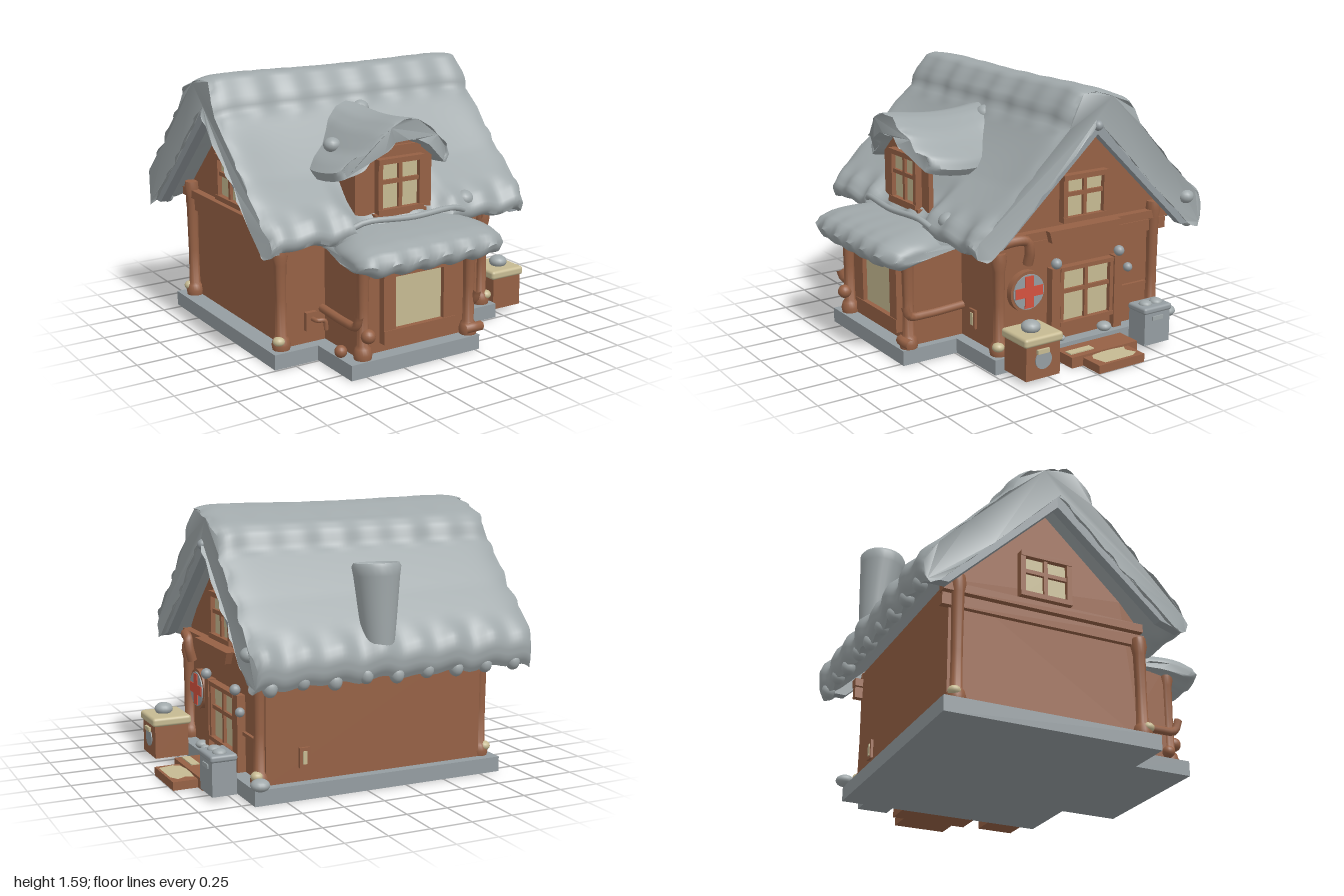
import * as THREE from 'three';
import { toCreasedNormals } from 'three/addons/utils/BufferGeometryUtils.js';
import { RoundedBoxGeometry } from 'three/addons/geometries/RoundedBoxGeometry.js';

const mat = (name, color) => {
  const m = new THREE.MeshStandardMaterial({ color });
  m.name = name;
  return m;
};
const shape = pts => new THREE.Shape(pts.map(p => new THREE.Vector2(...p)));
const smooth = THREE.MathUtils.smoothstep;

export function createModel() {
  const root = new THREE.Group();
  root.name = 'snowyCabin';
  const snow = mat('snow grey', 0xa0a8aa), stone = mat('stone grey', 0x959da1), wood = mat('timber brown', 0x966145);
  const cream = mat('cream', 0xc6ba92), red = mat('red', 0xd4523f);

  const add = (name, geo, m, x = 0, y = 0, z = 0, parent = root) => {
    const mesh = new THREE.Mesh(geo, m);
    mesh.name = name;
    mesh.position.set(x, y, z);
    parent.add(mesh);
    return mesh;
  };
  // Box given by its limits
  const box = (name, m, x0, x1, y0, y1, z0, z1, parent) =>
    add(name, new THREE.BoxGeometry(x1 - x0, y1 - y0, z1 - z0), m, (x0 + x1) / 2, (y0 + y1) / 2, (z0 + z1) / 2, parent);
  const ball = (name, m, x, y, z, r, sy = 1) => {
    add(name, new THREE.SphereGeometry(r, 16, 12), m, x, y, z).scale.y = sy;
  };
  const tube = (name, m, pts, r) => add(name, new THREE.TubeGeometry(
    new THREE.CatmullRomCurve3(pts.map(p => new THREE.Vector3(...p))), 16, r, 8), m);
  const lathe = (name, m, pts, x, y, z) =>
    add(name, toCreasedNormals(new THREE.LatheGeometry(pts.map(p => new THREE.Vector2(...p)), 24), 0.9), m, x, y, z);
  // Outline in (z, y), extruded from x towards -x
  const sideExtrude = (name, m, pts, x, depth) => {
    const g = new THREE.ExtrudeGeometry(shape(pts), { depth, bevelEnabled: false });
    g.rotateY(-Math.PI / 2);
    return add(name, g, m, x);
  };
  // Sweeps a closed outline with finely divided edges; place(t, u, v) returns the 3D point
  const loft = (name, m, pts, n, place) => {
    const raw = pts.map(p => new THREE.Vector2(...p)), prof = [];
    if (THREE.ShapeUtils.isClockWise(raw)) raw.reverse();
    raw.forEach((a, i) => {
      const b = raw[(i + 1) % raw.length], parts = Math.ceil(a.distanceTo(b) / 0.035);
      for (let j = 0; j < parts; j++) {
        const f = j / parts, bow = 0.03 * f * (1 - f);
        prof.push(new THREE.Vector2(a.x + (b.x - a.x) * f + (b.y - a.y) * bow, a.y + (b.y - a.y) * f - (b.x - a.x) * bow));
      }
    });
    const pos = [], idx = [], k = prof.length;
    for (let i = 0; i <= n; i++) for (const p of prof) pos.push(...place(i / n, p.x, p.y));
    for (let i = 0; i < n; i++) for (let j = 0; j < k; j++) {
      const a = i * k + j, b = i * k + (j + 1) % k;
      idx.push(a, b, a + k, b, b + k, a + k);
    }
    for (const [a, b, c] of THREE.ShapeUtils.triangulateShape(prof, []))
      idx.push(a, c, b, n * k + a, n * k + b, n * k + c);
    const g = new THREE.BufferGeometry();
    g.setAttribute('position', new THREE.Float32BufferAttribute(pos, 3));
    g.setIndex(idx);
    return add(name, toCreasedNormals(g, 0.9), m);
  };

  // Foundation
  box('foundation', stone, -0.88, 0.69, 0, 0.09, -0.8, 0.49);
  box('bayFoundation', stone, -0.6, 0.28, 0, 0.09, 0.48, 0.85);

  // Main body with gables, and the front bay
  sideExtrude('houseBody', wood, [[0.42, 0.09], [0.42, 0.8], [0.32, 0.92], [-0.17, 1.38], [-0.74, 0.82], [-0.74, 0.09]], 0.6, 1.37);
  box('bayBody', wood, -0.51, 0.23, 0.09, 0.68, 0.4, 0.76);

  // Side beams, gable boards and pegs on both ends
  for (const [s, x] of [[1, 0.6], [-1, -0.77]]) {
    const b = (n, a, c, y0, y1, z0, z1) => box(n, wood, Math.min(x + s * a, x + s * c), Math.max(x + s * a, x + s * c), y0, y1, z0, z1);
    b('lowerBeam', -0.01, 0.03, 0.65, 0.72, -0.79, 0.46);
    b('upperBeam', -0.01, 0.05, 0.73, 0.78, -0.79, 0.44);
    sideExtrude('gableBoard', stone, [[0.6, 0.71], [0.6, 0.8], [-0.17, 1.47], [-0.93, 0.78], [-0.93, 0.69], [-0.82, 0.69],
      [-0.17, 1.32], [0.47, 0.75]], s > 0 ? 0.74 : -0.9, 0.06);
    ball('gablePeg', stone, x + s * 0.14, 1.37, -0.17, 0.03);
  }

  // Main roof snow: ridge cap, scalloped rims, a sagging front slope and a hollow below the dormer
  const roof = [[0.56, 0.74], [0.6, 0.72], [0.65, 0.74], [0.665, 0.79], [0.62, 0.86], [0.36, 1.11], [0.1, 1.37], [0.055, 1.4], [0.04, 1.46],
    [0, 1.52], [-0.05, 1.58], [-0.11, 1.59], [-0.2, 1.575], [-0.3, 1.54], [-0.4, 1.5], [-0.45, 1.45], [-0.48, 1.37], [-0.72, 1.12],
    [-0.96, 0.87], [-0.985, 0.81], [-0.98, 0.73], [-0.95, 0.68], [-0.9, 0.7], [-0.17, 1.43]];
  loft('roofSnow', snow, roof, 80, (t, z, y) => {
    const x = 0.755 - t * 1.735, end = Math.abs(2 * t - 1), e = Math.pow(end, 16), front = z > -0.17;
    const w = Math.sin(t * 47) + 0.6 * Math.sin(t * 29 + 1);
    const eave = smooth(Math.abs(z + 0.17), 0.68, 0.8), cap = z < 0.08 && z > -0.5 ? 0.8 : 0;
    const outer = y > 1.5 - 0.93 * (z + 0.17) ? 1 : 0;
    const sag = z > 0.07 && z < 0.62 ? 0.06 * outer * Math.sin(Math.PI * Math.pow((z - 0.07) / 0.55, 0.7)) * (1 - Math.pow(end, 6)) : 0;
    const hollow = front ? 0.055 * smooth(z, 0.35, 0.5) * (1 - smooth(Math.abs(x + 0.14), 0.24, 0.38)) : 0;
    return [x + Math.sin(z * 46) * 0.013 * e * Math.sign(x), y - 0.025 * e + w * 0.013 * eave - hollow - sag + 0.006 * Math.sin(t * 6 + 2) * (y > 1.5),
      z + (front ? 1 : -1) * (w * 0.009 * (eave + cap) - 0.015 * e)];
  });
  // Drips under the back eave and lumps on the roof
  for (let i = 0; i < 9; i++) ball('eaveDrip', snow, -0.86 + i * 0.19, 0.7 + 0.012 * Math.sin(i * 3), -0.94, 0.042, 1.2);
  for (const [x, y, z, r] of [[0.35, 0.84, 0.58, 0.06], [-0.05, 1.34, 0.07, 0.058], [-0.42, 1.215, 0.36, 0.05], [0.74, 0.86, -0.85, 0.05]])
    ball('snowLump', snow, x, y, z, r, 0.85);

  // Bay roof snow with rounded ends, and the rail above it
  loft('bayRoofSnow', snow, [[0.93, 0.595], [0.98, 0.62], [1.0, 0.67], [0.97, 0.73], [0.89, 0.765], [0.75, 0.785], [0.5, 0.8], [0.45, 0.66], [0.8, 0.64]],
    48, (t, z, y) => {
      const c = Math.cos(Math.PI * t), s = Math.sqrt(1 - Math.pow(Math.abs(c), 6)), w = Math.sin(c * 19);
      return [-0.11 + c * (0.43 + 0.06 * smooth(z, 0.6, 0.85)), 0.655 + (y - 0.655) * (0.3 + 0.7 * s) + (y < 0.68 ? w * 0.013 : 0),
        z - (z > 0.7 ? 0.1 * (1 - s) - w * 0.009 : 0)];
    });
  tube('snowRail', snow, [[-0.46, 0.81, 0.66], [-0.4, 0.835, 0.68], [-0.1, 0.825, 0.7], [0.2, 0.83, 0.68], [0.29, 0.8, 0.66]], 0.018);

  // Dormer: front wall, outer cheek and arched snow roof
  const dormerFace = shape([[-0.4, 0.82], [0.12, 0.82], [0.12, 1.17], [-0.02, 1.27], [-0.26, 1.27], [-0.4, 1.16]]);
  add('dormerWall', new THREE.ExtrudeGeometry(dormerFace, { depth: 0.03, bevelEnabled: false }), wood, 0, 0, 0.54);
  box('dormerSill', wood, -0.29, 0.06, 0.82, 0.84, 0.56, 0.61);
  box('dormerHeader', wood, -0.26, 0.03, 1.17, 1.22, 0.56, 0.59);
  add('dormerCheek', new THREE.PlaneGeometry(0.5, 0.32), wood, -0.4, 1.01, 0.3).rotation.y = -Math.PI / 2;
  loft('dormerSnow', snow, [[-0.53, 1.08], [-0.55, 1.13], [-0.5, 1.18], [-0.42, 1.23], [-0.32, 1.34], [-0.23, 1.395], [-0.14, 1.41], [-0.05, 1.395],
    [0.05, 1.34], [0.13, 1.27], [0.23, 1.19], [0.25, 1.14], [0.22, 1.1], [0.12, 1.16], [0.03, 1.23], [-0.05, 1.265], [-0.14, 1.275], [-0.23, 1.265],
    [-0.32, 1.21], [-0.42, 1.12]], 28, (t, x, y) => {
    const wide = 0.9 + 0.12 * Math.sin(Math.PI * Math.min(1, (1 - t) * 1.4)), c = x + 0.14, tip = Math.pow(t, 10);
    return [-0.14 + c * wide * (1 - 0.06 * tip), y - 0.045 * Math.sin(t * Math.PI) - (y > 1.32 ? 0.015 * tip : 0),
      -0.05 + t * 0.76 - 0.4 * c * c * tip + 0.012 * Math.sin(x * 38) * tip - 0.04 * tip * (y < 1.2)];
  });

  // Framed window facing +z
  const windowUnit = (name, w, h, f, x, y, z, turn = 0, bars = true) => {
    const g = new THREE.Group();
    g.name = name;
    g.position.set(x, y, z);
    g.rotation.y = turn;
    root.add(g);
    const b = (n, m, ...l) => box(n, m, ...l, g);
    b('glass', cream, -w / 2, w / 2, -h / 2, h / 2, 0, 0.012);
    for (const s of [-1, 1]) {
      const a = s * w / 2, c = s * h / 2;
      b('jamb', wood, Math.min(a, a + s * f), Math.max(a, a + s * f), -h / 2 - f, h / 2 + f, -0.01, 0.04);
      b('rail', wood, -w / 2 - f, w / 2 + f, Math.min(c, c + s * f), Math.max(c, c + s * f), -0.01, 0.045);
    }
    if (bars) {
      b('mullion', wood, -0.012, 0.012, -h / 2, h / 2, 0, 0.03);
      b('transom', wood, -w / 2, w / 2, h * 0.05, h * 0.05 + 0.024, 0, 0.03);
    }
  };
  windowUnit('dormerWindow', 0.25, 0.26, 0.03, -0.115, 0.995, 0.572);
  windowUnit('bayWindow', 0.33, 0.31, 0.08, -0.115, 0.38, 0.765, 0, false);
  windowUnit('rightGableWindow', 0.26, 0.22, 0.03, 0.605, 0.94, -0.17, Math.PI / 2);
  windowUnit('leftGableWindow', 0.26, 0.22, 0.03, -0.775, 0.94, -0.17, -Math.PI / 2);
  windowUnit('doorWindow', 0.34, 0.31, 0.025, 0.605, 0.355, -0.19, Math.PI / 2);

  // Log posts with knobbed feet
  const post = (x, z, h = 0.6) => lathe('logPost', wood, [[0, 0], [0.05, 0], [0.055, 0.03], [0.045, 0.065], [0.034, 0.08], [0.032, 0.3],
    [0.036, h - 0.1], [0.046, h - 0.05], [0.04, h], [0, h]], x, 0.09, z);
  for (const [x, s] of [[-0.8, -1], [0.62, 1]]) {
    post(x, 0.42);
    post(x, -0.7, 0.74);
    ball('postFrost', cream, x + s * 0.025, 0.145, 0.44, 0.036, 0.8);
    ball('postFrost', cream, x + s * 0.025, 0.145, -0.72, 0.036, 0.8);
  }
  for (const x of [-0.49, 0.24]) {
    post(x, 0.79);
    const end = x < 0 ? -0.54 : 0.27;
    tube('bayRail', wood, [[end, 0.29, 0.44], [end, 0.28, 0.7], [end, 0.29, 0.8], [end, 0.36, 0.83]], 0.025);
  }
  ball('railKnob', wood, -0.48, 0.23, 0.83, 0.042);
  ball('railKnob', wood, -0.59, 0.13, 0.72, 0.036);
  tube('footLog', wood, [[0.2, 0.13, 0.82], [0.25, 0.135, 0.83], [0.31, 0.13, 0.82]], 0.03);
  box('bayLintel', wood, -0.5, 0.23, 0.6, 0.66, 0.75, 0.8);

  // Door surround, lamps, name board and bracket on the right wall
  for (const z of [0.04, -0.42]) {
    box('doorPost', wood, 0.59, 0.65, 0.09, 0.54, z - 0.03, z + 0.03);
    ball('doorLamp', stone, 0.65, 0.57, z, 0.032);
  }
  box('doorPanel', wood, 0.59, 0.615, 0.09, 0.2, -0.4, 0.02);
  box('sideRail', wood, 0.59, 0.62, 0.31, 0.33, -0.66, -0.44);
  ball('wallKnob', stone, 0.65, 0.455, -0.49, 0.028);
  sideExtrude('hangingBoard', wood, [[0.12, 0.78], [0.1, 0.71], [-0.37, 0.71], [-0.4, 0.78]], 0.69, 0.04);
  tube('bracket', wood, [[0.64, 0.74, 0.42], [0.67, 0.76, 0.34], [0.68, 0.75, 0.27], [0.68, 0.69, 0.25], [0.66, 0.61, 0.25]], 0.03);

  // Round plaque with a plus sign
  const disc = (name, m, r, d, x, y, z) => { add(name, new THREE.CylinderGeometry(r, r, d, 32), m, x, y, z).rotation.z = Math.PI / 2; };
  disc('plaqueRim', wood, 0.122, 0.04, 0.62, 0.435, 0.23);
  disc('plaqueFace', stone, 0.105, 0.008, 0.643, 0.435, 0.23);
  box('plusUpright', red, 0.645, 0.652, 0.34, 0.53, 0.2, 0.26);
  box('plusBar', red, 0.645, 0.6515, 0.405, 0.465, 0.135, 0.325);

  // Steps with patches of frost
  box('upperStep', wood, 0.68, 0.85, 0, 0.065, -0.41, 0.07);
  box('lowerStep', wood, 0.84, 1.0, 0, 0.05, -0.34, -0.01);
  const frost = shape([[0.86, 0.07], [0.9, 0.04], [0.99, 0.06], [0.99, 0.26], [0.96, 0.31], [0.9, 0.28], [0.86, 0.3], [0.845, 0.18]]);
  add('stepFrost', new THREE.ShapeGeometry(frost), cream, 0, 0.056, 0).rotation.x = -Math.PI / 2;
  box('stepFrost', cream, 0.76, 0.81, 0.065, 0.072, -0.12, 0.05);

  // Snow lumps on the foundation
  for (const [x, z, r] of [[0.66, 0.1, 0.04], [0.66, -0.31, 0.045], [0.66, -0.8, 0.055], [0.67, 0.02, 0.028]]) ball('groundSnow', snow, x, 0.12, z, r, 0.65);

  // Wooden bin with a cream lid
  box('binBody', wood, 0.71, 0.92, 0.03, 0.24, 0.21, 0.44);
  add('binLid', new RoundedBoxGeometry(0.245, 0.055, 0.26, 3, 0.018), cream, 0.813, 0.255, 0.325);
  ball('binSnow', snow, 0.82, 0.305, 0.34, 0.056, 0.7);
  box('binHandle', cream, 0.92, 0.935, 0.18, 0.205, 0.29, 0.37);
  disc('binBadge', stone, 0.055, 0.008, 0.922, 0.14, 0.325);

  // Grey bin
  box('greyBinBody', stone, 0.73, 0.875, 0.03, 0.23, -0.635, -0.445);
  add('greyBinLid', new RoundedBoxGeometry(0.16, 0.04, 0.21, 3, 0.015), stone, 0.805, 0.245, -0.54);
  for (const z of [-0.5, -0.58]) ball('greyBinSnow', snow, 0.81, 0.265, z, 0.04, 0.6);
  box('greyBinSlot', snow, 0.875, 0.882, 0.18, 0.205, -0.58, -0.5);

  // Wall sockets and the small tap on the front
  for (const [x, z, s] of [[0.36, 0.42, 1], [0.37, -0.74, -1]]) {
    box('socketFrame', wood, x - 0.032, x + 0.032, 0.17, 0.285, z - 0.015, z + 0.015);
    box('socketSlot', cream, x - 0.012, x + 0.012, 0.19, 0.265, z + s * 0.016 - 0.003, z + s * 0.016 + 0.003);
  }
  box('tapPlate', wood, -0.65, -0.58, 0.17, 0.28, 0.42, 0.45);
  tube('tapPipe', wood, [[-0.61, 0.24, 0.44], [-0.6, 0.24, 0.49], [-0.56, 0.235, 0.5], [-0.55, 0.18, 0.5]], 0.014);

  // Hollow chimney, leaning and widening towards the top
  lathe('chimney', snow, [[0, 0], [0.08, 0], [0.1, 0.16], [0.128, 0.42], [0.136, 0.47], [0.125, 0.49], [0.095, 0.48], [0.08, 0.44],
    [0.075, 0.35], [0, 0.35]], -0.01, 0.82, -0.9).rotation.x = 0.09;
  return root;
}
